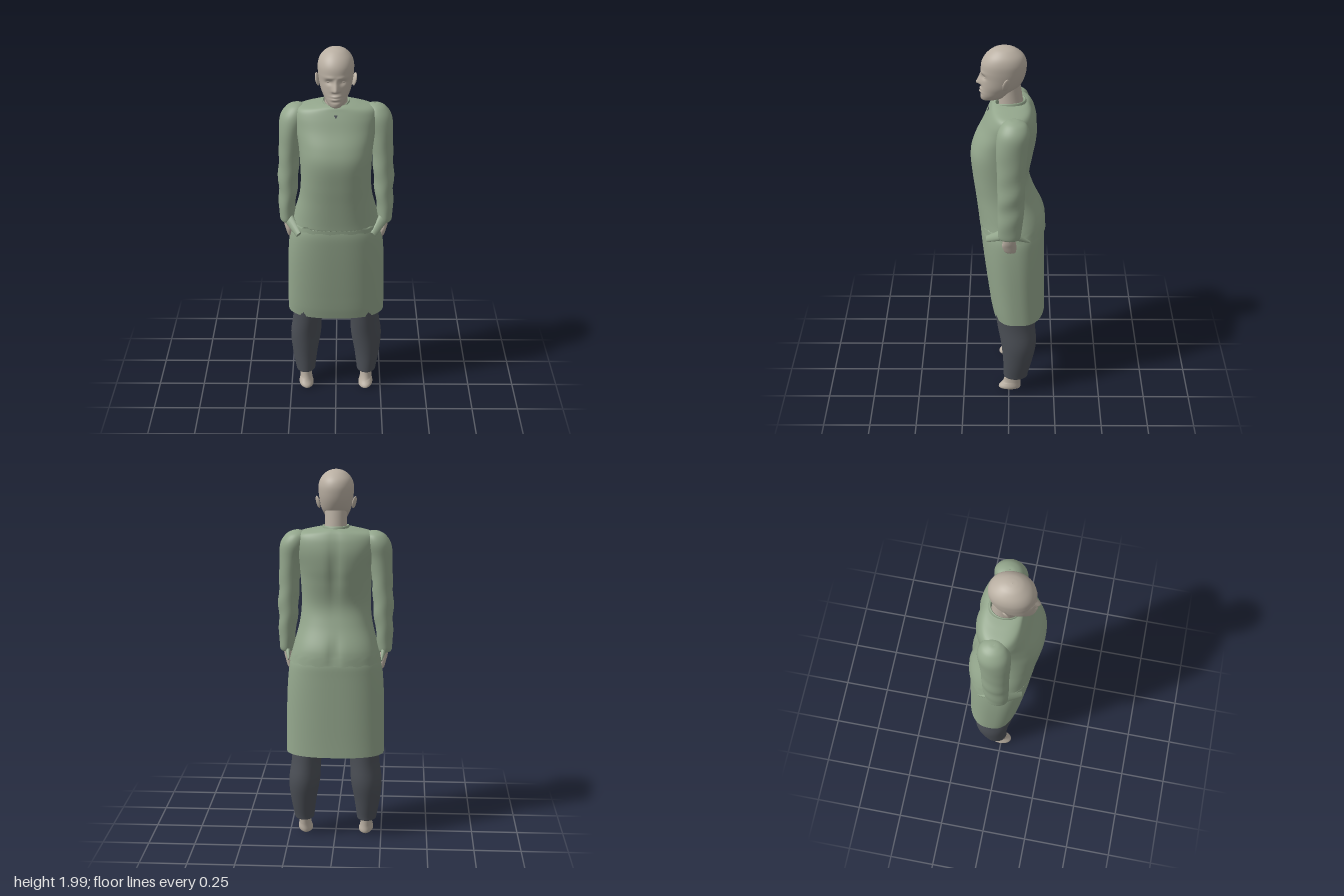
import * as THREE from 'three';

const green = new THREE.MeshStandardMaterial({ color: 0x93a68c, side: THREE.DoubleSide });
green.name = 'sage cloth';
const skin = new THREE.MeshStandardMaterial({ color: 0xb9afa2, side: THREE.DoubleSide });
skin.name = 'skin';
const dark = new THREE.MeshStandardMaterial({ color: 0x4b4f56, side: THREE.DoubleSide });
dark.name = 'charcoal cloth';

// Smooth interpolation through the rows of a profile
function sampleRows(rows, t) {
  const f = t * (rows.length - 1), i = Math.min(Math.floor(f), rows.length - 2), u = f - i;
  const r = k => rows[Math.max(0, Math.min(rows.length - 1, k))];
  return rows[0].map((_, c) => {
    const a = r(i - 1)[c], b = r(i)[c], d = r(i + 1)[c], e = r(i + 2)[c];
    return b + 0.5 * u * (d - a + u * (2 * a - 5 * b + 4 * d - e + u * (3 * (b - d) + e - a)));
  });
}

// Loft of rounded sections, bottom to top; row = [y, centreX, radiusX, frontZ, backZ]
function loft(rows, { seg = 40, steps = 4, power = 2, bend } = {}) {
  const pos = [], index = [], n = (rows.length - 1) * steps, v = new THREE.Vector3();
  const round = s => Math.sign(s) * Math.abs(s) ** (2 / power);
  for (let i = 0; i <= n; i++) {
    const [y, cx, rx, zf, zb] = sampleRows(rows, i / n);
    for (let j = 0; j < seg; j++) {
      const a = (j / seg) * Math.PI * 2;
      v.set(cx + rx * round(Math.sin(a)), y, (zf + zb) / 2 + ((zf - zb) / 2) * round(Math.cos(a)));
      if (bend) bend(v, a);
      pos.push(v.x, v.y, v.z);
      if (i < n) {
        const k = (j + 1) % seg, p = i * seg, q = p + seg;
        index.push(p + j, p + k, q + k, p + j, q + k, q + j);
      }
    }
  }
  const g = new THREE.BufferGeometry();
  g.setAttribute('position', new THREE.Float32BufferAttribute(pos, 3));
  g.setIndex(index);
  g.computeVertexNormals();
  return g;
}

const bump = (d, w) => Math.exp(-((d / w) ** 2));

function add(parent, name, geometry, material) {
  const m = new THREE.Mesh(geometry, material);
  m.name = name;
  parent.add(m);
  return m;
}

// Flattened tapering flap of cloth between two points
function flap(parent, name, from, to, r0, r1, flat) {
  const a = new THREE.Vector3(...from), b = new THREE.Vector3(...to);
  const m = add(parent, name, new THREE.CylinderGeometry(r1, r0, a.distanceTo(b), 14, 1), green);
  m.position.copy(a).add(b).multiplyScalar(0.5);
  m.quaternion.setFromUnitVectors(new THREE.Vector3(0, 1, 0), b.sub(a).normalize());
  m.scale.x = flat;
}

// Nose, eye sockets, lips and chin pressed into the front of the head
function shapeFace(v) {
  if (v.z < 0.06) return;
  const x = Math.abs(v.x);
  const bridge = Math.max(0, Math.min(1, (1.868 - v.y) / 0.055));
  const under = Math.max(0, Math.min(1, (v.y - 1.795) / 0.01));
  v.z += 0.026 * bridge * under * bump(x, 0.009 + 0.007 * bridge)
    - 0.011 * bump(x - 0.034, 0.02) * bump(v.y - 1.848, 0.013)
    + 0.004 * bump(x - 0.03, 0.025) * bump(v.y - 1.872, 0.008)
    + 0.008 * bump(x, 0.022) * (bump(v.y - 1.777, 0.006) + bump(v.y - 1.762, 0.006))
    - 0.004 * bump(x, 0.025) * bump(v.y - 1.748, 0.006);
}

function createHead() {
  const head = new THREE.Group();
  head.name = 'head';
  add(head, 'skull', loft([
    [1.714, 0, 0.002, 0.115, 0.11], [1.717, 0, 0.028, 0.138, 0.06], [1.74, 0, 0.05, 0.145, 0],
    [1.77, 0, 0.066, 0.142, -0.035], [1.8, 0, 0.078, 0.14, -0.06], [1.84, 0, 0.086, 0.139, -0.079],
    [1.88, 0, 0.091, 0.141, -0.088], [1.92, 0, 0.091, 0.136, -0.088], [1.955, 0, 0.079, 0.116, -0.073],
    [1.983, 0, 0.053, 0.084, -0.04], [1.996, 0, 0.026, 0.054, -0.008], [2, 0, 0.001, 0.026, 0.024],
  ], { seg: 96, steps: 8, power: 2.1, bend: shapeFace }), skin);
  add(head, 'neck', loft([
    [1.64, 0, 0.062, 0.05, -0.08], [1.72, 0, 0.058, 0.052, -0.07], [1.8, 0, 0.058, 0.055, -0.058],
  ]), skin);
  for (const s of [-1, 1]) {
    const ear = add(head, 'ear', new THREE.SphereGeometry(1, 20, 14), skin);
    ear.scale.set(0.008, 0.034, 0.019);
    ear.position.set(s * 0.094, 1.83, 0.014);
    ear.rotation.set(-0.15, s * 0.5, -s * 0.2);
    const eye = add(head, 'eye', new THREE.SphereGeometry(1, 16, 12), skin);
    eye.scale.set(0.014, 0.007, 0.009);
    eye.position.set(s * 0.034, 1.848, 0.114);
  }
  return head;
}

function createTunic() {
  const tunic = new THREE.Group();
  tunic.name = 'tunic';
  // Upper body, with a ragged lower edge and a shallow seam down the back
  add(tunic, 'bodice', loft([
    [1.0, 0, 0.244, 0.155, -0.196], [1.05, 0, 0.231, 0.158, -0.192], [1.1, 0, 0.217, 0.163, -0.178],
    [1.2, 0, 0.192, 0.175, -0.132], [1.3, 0, 0.183, 0.188, -0.106], [1.42, 0, 0.187, 0.198, -0.125],
    [1.5, 0, 0.195, 0.178, -0.14], [1.58, 0, 0.21, 0.138, -0.145], [1.64, 0, 0.215, 0.112, -0.136],
    [1.678, 0, 0.195, 0.094, -0.12], [1.697, 0, 0.12, 0.084, -0.105], [1.705, 0, 0.07, 0.07, -0.09],
  ], {
    seg: 72, steps: 6, power: 2.4, bend: (v, a) => {
      if (v.y < 1.04) v.y += (v.z > 0 ? 0.025 * Math.cos(a) : 0) + 0.004 * Math.sin(a * 17);
      if (v.z < 0) v.z += 0.016 * bump(v.x, 0.025) * (bump(v.y - 1.06, 0.07) + bump(v.y - 1.5, 0.15));
    },
  }), green);
  // Skirt, open below and slightly longer in front
  add(tunic, 'skirt', loft([
    [0.498, 0, 0.262, 0.088, -0.196], [0.6, 0, 0.262, 0.106, -0.193], [0.8, 0, 0.259, 0.131, -0.19],
    [0.93, 0, 0.251, 0.145, -0.188], [1.0, 0, 0.239, 0.15, -0.186], [1.05, 0, 0.215, 0.145, -0.17],
  ], {
    seg: 72, power: 2.5, bend: (v, a) => {
      if (v.y < 0.6) v.y -= 0.012 * Math.max(0, Math.cos(a));
    },
  }), green);
  // Standing collar, dipping at the throat
  add(tunic, 'collar', loft([
    [1.67, 0, 0.085, 0.088, -0.105], [1.695, 0, 0.073, 0.078, -0.093], [1.715, 0, 0.069, 0.074, -0.086],
    [1.713, 0, 0.063, 0.066, -0.078], [1.69, 0, 0.062, 0.064, -0.078],
  ], { bend: (v, a) => { v.y -= 0.02 * Math.max(0, Math.cos(a)) ** 2; } }), green);
  const notch = add(tunic, 'throatNotch', new THREE.CylinderGeometry(0.012, 0.012, 0.006, 3), dark);
  notch.rotation.x = Math.PI / 2 - 0.4;
  notch.position.set(0, 1.66, 0.103);
  return tunic;
}

function createArm(s) {
  const arm = new THREE.Group();
  arm.name = s > 0 ? 'leftArm' : 'rightArm';
  const wrinkle = v => {
    v.x += s * 0.003 * Math.sin(v.y * 45 + v.z * 20) * bump(v.y - 1.25, 0.2);
  };
  add(arm, 'sleeve', loft([
    [1.045, 0.258, 0.02, 0.03, -0.035], [1.048, 0.26, 0.036, 0.052, -0.058], [1.1, 0.26, 0.042, 0.056, -0.067],
    [1.2, 0.254, 0.048, 0.058, -0.078], [1.3, 0.25, 0.054, 0.058, -0.082], [1.42, 0.244, 0.054, 0.06, -0.085],
    [1.54, 0.235, 0.061, 0.064, -0.095], [1.62, 0.219, 0.07, 0.058, -0.105], [1.667, 0.205, 0.055, 0.035, -0.09],
    [1.687, 0.2, 0.026, 0.005, -0.055], [1.69, 0.2, 0.002, -0.022, -0.026],
  ].map(([y, x, ...rest]) => [y, s * x, ...rest]), { seg: 32, steps: 5, bend: wrinkle }), green);
  // Loose cuff ends hanging before and behind the hand
  flap(arm, 'frontCuff', [s * 0.252, 1.065, 0.03], [s * 0.195, 1.005, 0.112], 0.03, 0.018, 0.6);
  flap(arm, 'backCuff', [s * 0.255, 1.055, -0.035], [s * 0.245, 1.015, -0.11], 0.022, 0.005, 0.7);
  add(arm, 'hand', loft([
    [0.948, 0.243, 0.003, 0, -0.03], [0.955, 0.243, 0.015, 0.02, -0.037], [0.99, 0.248, 0.02, 0.035, -0.04],
    [1.02, 0.254, 0.022, 0.032, -0.036], [1.07, 0.258, 0.022, 0.026, -0.03],
  ].map(([y, x, ...rest]) => [y, s * x, ...rest]), { seg: 24 }), skin);
  return arm;
}

function createLeg(s) {
  const leg = new THREE.Group();
  leg.name = s > 0 ? 'leftLeg' : 'rightLeg';
  const mirrored = rows => rows.map(([y, x, ...rest]) => [y, s * x, ...rest]);
  add(leg, 'trouserLeg', loft(mirrored([
    [0.125, 0.17, 0.04, 0.015, -0.085], [0.105, 0.17, 0.051, 0.027, -0.102], [0.13, 0.171, 0.056, 0.029, -0.108],
    [0.22, 0.173, 0.07, 0.032, -0.13], [0.33, 0.168, 0.084, 0.043, -0.15], [0.45, 0.157, 0.08, 0.064, -0.142],
    [0.6, 0.145, 0.09, 0.082, -0.14], [0.8, 0.125, 0.1, 0.09, -0.14], [0.97, 0.11, 0.1, 0.09, -0.14],
  ])), dark);
  // Bare ankle with a short, thin forefoot
  add(leg, 'foot', loft(mirrored([
    [0.012, 0.167, 0.004, -0.03, -0.04], [0.014, 0.167, 0.034, 0.045, -0.06], [0.028, 0.167, 0.04, 0.056, -0.066],
    [0.055, 0.168, 0.034, 0.036, -0.066], [0.09, 0.169, 0.032, 0.024, -0.07], [0.15, 0.17, 0.034, 0.02, -0.078],
  ]), { seg: 28, bend: v => { if (v.y < 0.06) v.y += 0.25 * Math.max(0, s * v.x - 0.167); } }), skin);
  return leg;
}

export function createModel() {
  const model = new THREE.Group();
  model.name = 'figure';
  model.add(createHead(), createTunic());
  for (const s of [-1, 1]) model.add(createArm(s), createLeg(s));
  return model;
}
